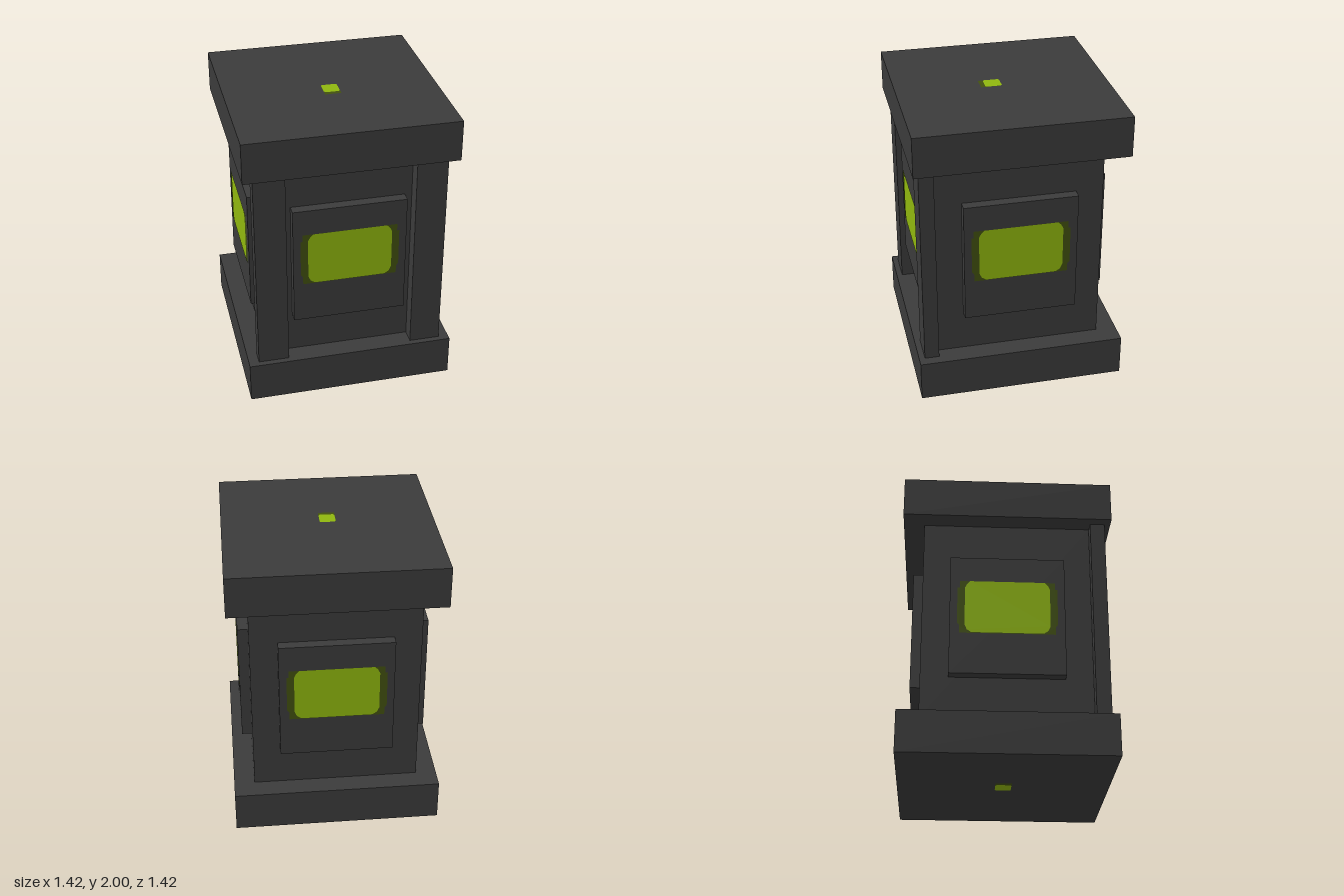
import * as THREE from 'three';

const stone = new THREE.MeshStandardMaterial({ color: 0x3b3b3b });
stone.name = 'charcoal';
const glow = new THREE.MeshStandardMaterial({ color: 0x8fb60e });
glow.name = 'bright lime';
const rim = new THREE.MeshStandardMaterial({ color: 0x41500f });
rim.name = 'dark olive';

// Box given by its centre and size
function box(name, x, y, z, w, h, d) {
  const mesh = new THREE.Mesh(new THREE.BoxGeometry(w, h, d), stone);
  mesh.name = name;
  mesh.position.set(x, y, z);
  return mesh;
}

// Thin flat plate outlined by [x, y] corners, facing +z
function plate(name, corners, material, z) {
  const shape = new THREE.Shape(corners.map(([x, y]) => new THREE.Vector2(x, y)));
  const mesh = new THREE.Mesh(new THREE.ShapeGeometry(shape), material);
  mesh.name = name;
  mesh.position.z = z;
  return mesh;
}

// Mirror a right-hand outline (bottom to top) to a closed symmetric one
const mirrored = (half) => [...half, ...half.slice().reverse().map(([x, y]) => [-x, y])];

const rect = (x0, y0, x1, y1) => [[x0, y0], [x1, y0], [x1, y1], [x0, y1]];

// Raised panel with a glowing window, facing +z
function windowPanel() {
  const panel = new THREE.Group();
  panel.name = 'windowPanel';
  panel.add(box('panelBoard', 0, 1.003, 0.6, 0.77, 0.855, 0.08));
  panel.add(plate('windowRim', mirrored([
    [0.25, 0.865], [0.32, 0.865], [0.32, 0.92], [0.335, 0.94],
    [0.335, 1.2], [0.32, 1.2], [0.32, 1.25],
  ]), rim, 0.642));
  panel.add(plate('windowGlow', mirrored([
    [0.24, 0.87], [0.27, 0.89], [0.285, 0.925],
    [0.285, 1.2], [0.27, 1.23], [0.25, 1.25],
  ]), glow, 0.644));
  return panel;
}

// Small light on the top or underside, lying in its own xy plane
function smallLight(name) {
  const light = new THREE.Group();
  light.name = name;
  light.add(plate('smallLightRim', rect(-0.055, -0.143, 0.055, -0.01), rim, 0.001));
  light.add(plate('smallLightGlow', mirrored([
    [0.045, -0.112], [0.054, -0.1], [0.054, -0.01], [0.045, 0],
  ]), glow, 0.002));
  return light;
}

export function createModel() {
  const model = new THREE.Group();
  model.name = 'lanternPillar';

  // Base, body and cap
  model.add(box('base', 0, 0.143, 0, 1.424, 0.286, 1.424));
  model.add(box('body', 0, 1.003, 0, 1.14, 1.434, 1.14));
  model.add(box('cap', 0, 1.86, 0, 1.424, 0.28, 1.424));

  // Posts on the front corners
  for (const side of [-1, 1]) {
    model.add(box(side > 0 ? 'leftPost' : 'rightPost', side * 0.538, 1.003, 0.622, 0.21, 1.434, 0.1));
  }

  // One window panel per side
  for (let i = 0; i < 4; i++) {
    const panel = windowPanel();
    panel.rotation.y = i * Math.PI / 2;
    model.add(panel);
  }

  // Lights on the top and the underside
  const topLight = smallLight('topLight');
  topLight.rotation.x = -Math.PI / 2;
  topLight.position.y = 2;
  model.add(topLight);

  const bottomLight = smallLight('bottomLight');
  bottomLight.rotation.set(Math.PI / 2, 0, -Math.PI / 2);
  model.add(bottomLight);

  return model;
}
